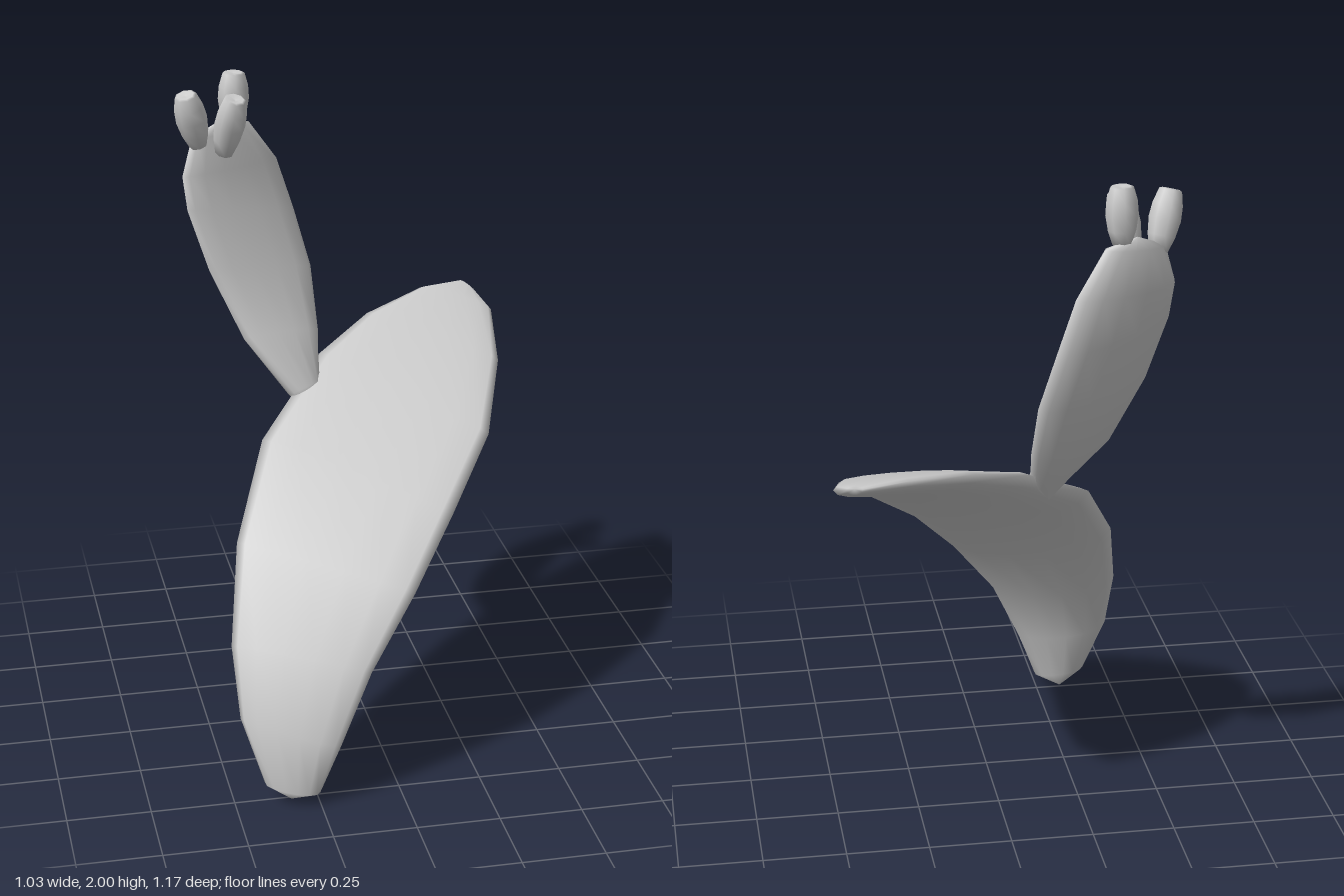
import * as THREE from 'three';

const material = new THREE.MeshStandardMaterial({ color: 0xcccccc });

// Lofts a curved fleshy pad. Each row: left edge xyz, right edge xyz, front bulge, back bulge.
function makePad(name, rows, sides = 14) {
  const edges = rows.map(r => [new THREE.Vector3(r[0], r[1], r[2]), new THREE.Vector3(r[3], r[4], r[5])]);
  const centres = edges.map(([l, r]) => l.clone().add(r).multiplyScalar(0.5));
  const positions = [], index = [];
  rows.forEach((row, i) => {
    const half = edges[i][1].clone().sub(edges[i][0]).multiplyScalar(0.5);
    const along = centres[Math.min(i + 1, rows.length - 1)].clone().sub(centres[Math.max(i - 1, 0)]);
    const normal = half.clone().cross(along).normalize();
    for (let j = 0; j < sides; j++) {
      const a = (j / sides) * Math.PI * 2, s = Math.sin(a);
      const bulge = Math.sign(s) * Math.pow(Math.abs(s), 0.85) * (s > 0 ? row[6] : row[7]);
      const p = centres[i].clone().addScaledVector(half, Math.cos(a)).addScaledVector(normal, bulge);
      positions.push(p.x, p.y, p.z);
      if (i < rows.length - 1) {
        const k = (j + 1) % sides, lo = i * sides, hi = lo + sides;
        index.push(lo + j, hi + j, hi + k, lo + j, hi + k, lo + k);
      }
    }
  });
  const geometry = new THREE.BufferGeometry();
  geometry.setAttribute('position', new THREE.Float32BufferAttribute(positions, 3));
  geometry.setIndex(index);
  geometry.computeVertexNormals();
  const mesh = new THREE.Mesh(geometry, material);
  mesh.name = name;
  return mesh;
}

// Barrel-shaped bud running from its base to its tip
function makeBud(name, base, tip) {
  const a = new THREE.Vector3(...base), b = new THREE.Vector3(...tip);
  const axis = b.clone().sub(a), length = axis.length();
  const profile = [[0, 0], [0.028, 0.01], [0.041, 0.25], [0.048, 0.52], [0.045, 0.75], [0.034, 0.98], [0.026, 1], [0, 0.97]];
  const geometry = new THREE.LatheGeometry(profile.map(([r, t]) => new THREE.Vector2(r, t * length)), 8);
  const mesh = new THREE.Mesh(geometry, material);
  mesh.name = name;
  mesh.position.copy(a);
  mesh.quaternion.setFromUnitVectors(new THREE.Vector3(0, 1, 0), axis.normalize());
  return mesh;
}

export function createModel() {
  const group = new THREE.Group();
  group.name = 'cactus';

  // Large pad, arching backwards from the ground
  group.add(makePad('largePad', [
    [-0.33, 0.005, 0.51, -0.33, 0.005, 0.51, 0, 0],
    [-0.41, 0.07, 0.51, -0.25, 0.04, 0.55, 0.04, 0.05],
    [-0.47, 0.26, 0.45, -0.19, 0.20, 0.57, 0.04, 0.075],
    [-0.48, 0.46, 0.37, -0.09, 0.41, 0.53, 0.035, 0.08],
    [-0.43, 0.71, 0.19, 0.06, 0.61, 0.44, 0.03, 0.08],
    [-0.31, 0.94, -0.04, 0.21, 0.79, 0.29, 0.025, 0.08],
    [-0.08, 1.11, -0.30, 0.37, 0.95, 0.08, 0.02, 0.07],
    [0.10, 1.18, -0.44, 0.47, 1.08, -0.20, 0.02, 0.05],
    [0.30, 1.215, -0.55, 0.51, 1.16, -0.45, 0.018, 0.03],
    [0.44, 1.215, -0.59, 0.48, 1.19, -0.53, 0.01, 0.015],
    [0.46, 1.205, -0.56, 0.46, 1.205, -0.56, 0, 0],
  ]));

  // Small pad growing from the back edge of the large one
  group.add(makePad('smallPad', [
    [-0.16, 0.98, -0.19, -0.16, 0.98, -0.19, 0, 0],
    [-0.20, 1.03, -0.17, -0.10, 1.05, -0.22, 0.035, 0.035],
    [-0.33, 1.20, -0.235, -0.08, 1.18, -0.33, 0.035, 0.045],
    [-0.425, 1.41, -0.28, -0.085, 1.36, -0.42, 0.03, 0.055],
    [-0.485, 1.60, -0.30, -0.13, 1.54, -0.465, 0.03, 0.055],
    [-0.495, 1.70, -0.32, -0.18, 1.70, -0.475, 0.03, 0.05],
    [-0.46, 1.81, -0.34, -0.27, 1.83, -0.44, 0.03, 0.035],
    [-0.37, 1.85, -0.39, -0.37, 1.85, -0.39, 0, 0],
  ]));

  // Buds along the top of the small pad
  [
    ['rightBud', [-0.44, 1.79, -0.345], [-0.483, 1.96, -0.30]],
    ['frontBud', [-0.365, 1.765, -0.33], [-0.338, 1.95, -0.265]],
    ['leftBud', [-0.325, 1.83, -0.395], [-0.322, 2.0, -0.39]],
  ].forEach(([name, base, tip]) => group.add(makeBud(name, base, tip)));

  return group;
}
